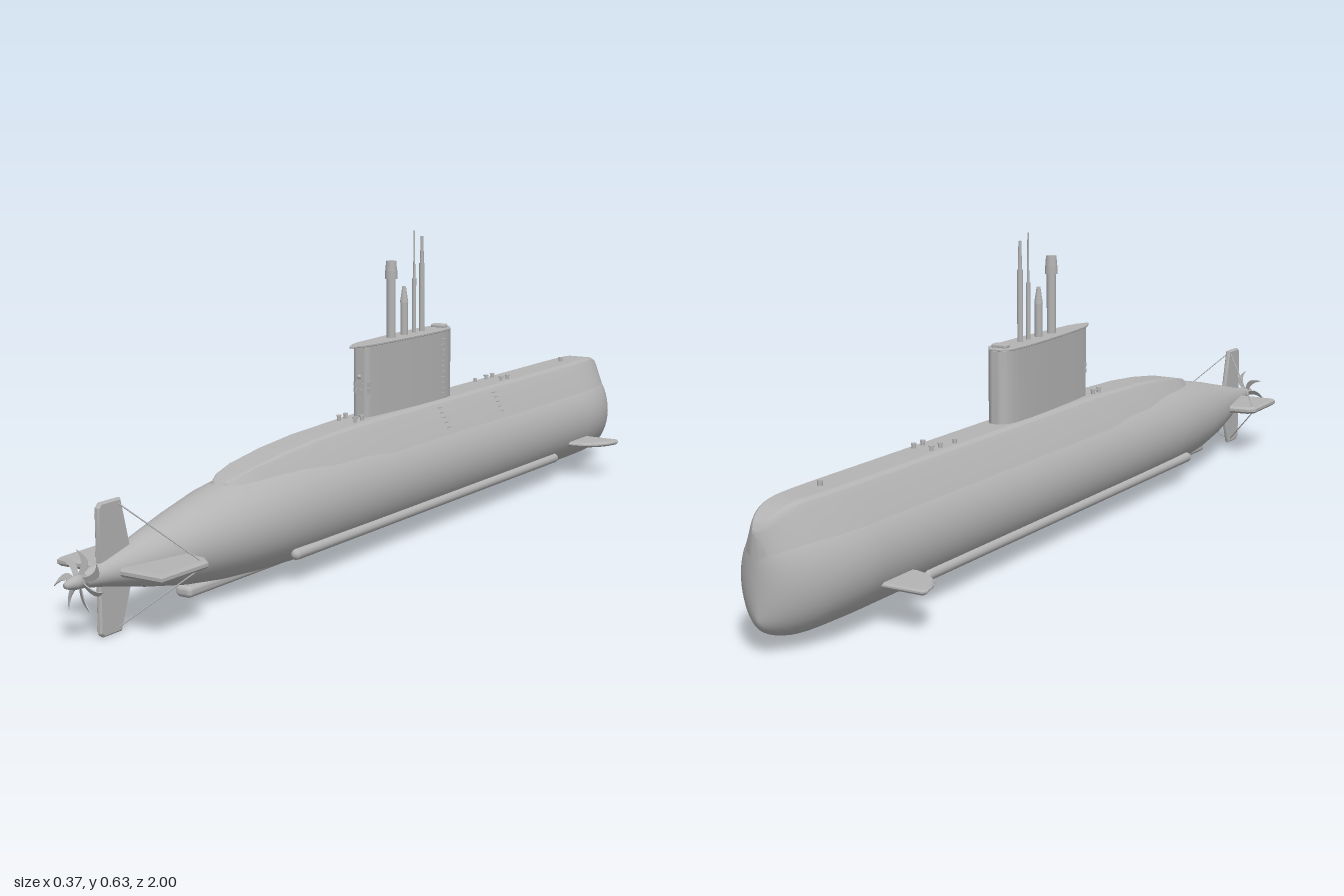
import * as THREE from 'three';
import { mergeVertices, toCreasedNormals } from 'three/addons/utils/BufferGeometryUtils.js';
import { RoundedBoxGeometry } from 'three/addons/geometries/RoundedBoxGeometry.js';

const grey = new THREE.MeshStandardMaterial({ color: 0xb4b4b4 });
grey.name = 'hull grey';

// linear lookup in rows [z, a, b, ...] sorted by falling z
function lookup(rows, z) {
  let i = 0;
  while (i < rows.length - 2 && z < rows[i + 1][0]) i++;
  const p = rows[i], q = rows[i + 1];
  const t = THREE.MathUtils.clamp((z - p[0]) / (q[0] - p[0]), 0, 1);
  return p.map((v, k) => v + (q[k] - v) * t);
}

// skin over closed rings that run from +z to -z
function loft(rings, crease) {
  const n = rings[0].length, pos = [], idx = [];
  rings.forEach(r => r.forEach(p => pos.push(...p)));
  for (let i = 0; i < rings.length - 1; i++) for (let j = 0; j < n; j++) {
    const a = i * n + j, b = i * n + (j + 1) % n;
    idx.push(a, a + n, b, b, a + n, b + n);
  }
  let g = new THREE.BufferGeometry();
  g.setAttribute('position', new THREE.Float32BufferAttribute(pos, 3));
  g.setIndex(idx);
  g = mergeVertices(g, 1e-5);
  g.computeVertexNormals();
  return crease ? toCreasedNormals(g, crease) : g;
}

// rounds the bow off in plan and in profile
function bowPoint(x, y, z) {
  const u = Math.max(0, (-z - 0.78) / 0.22), v = Math.max(0, (-z - 0.9) / 0.1);
  const sx = Math.sqrt(Math.max(0, 1 - u ** 2.3));
  const sy = (0.07 + 0.05 * Math.sqrt(Math.max(0, 1 - v * v))) / 0.12;
  return [x * sx, 0.14 + (y - 0.14) * sy, z];
}

// [z, radius, centre height]
const HULL = [[0.958, 0.013, 0.113], [0.9, 0.024, 0.113], [0.8, 0.048, 0.113], [0.7, 0.07, 0.115],
  [0.6, 0.087, 0.119], [0.5, 0.097, 0.122], [0.4, 0.103, 0.124], [0.2, 0.105, 0.125], [-1, 0.105, 0.125]];
// [z, top half width, base half width, top height]
const CASING = [[0.585, 0, 0.001, 0.205], [0.575, 0.014, 0.022, 0.213], [0.55, 0.024, 0.036, 0.221],
  [0.5, 0.029, 0.047, 0.232], [0.4, 0.031, 0.06, 0.245], [0.3, 0.032, 0.072, 0.253],
  [0.1, 0.032, 0.083, 0.26], [-1, 0.032, 0.083, 0.26]];
const BOW = Array.from({ length: 19 }, (_, i) => -0.78 - 0.22 * Math.sin(i / 18 * Math.PI / 2));

function hullGeometry() {
  const zs = [...HULL.slice(0, -1).map(r => r[0]), -0.3, ...BOW];
  return loft(zs.map(z => {
    const [, r, cy] = lookup(HULL, z);
    return Array.from({ length: 48 }, (_, j) => {
      const a = j / 48 * Math.PI * 2;
      return bowPoint(r * Math.cos(a), cy + r * Math.sin(a), z);
    });
  }));
}

function casingGeometry() {
  const zs = [...CASING.slice(0, -1).map(r => r[0]), -0.3, ...BOW];
  return loft(zs.map(z => {
    const [, wt, wb, t] = lookup(CASING, z), [, r, cy] = lookup(HULL, z);
    const b = cy + Math.sqrt(r * r - wb * wb) - 0.002;
    const h = Math.max(0, (t - b) / 0.073), k = (wb - wt) / 0.051;
    const half = [[wb * 0.5, b - 0.03 * h], [wb, b], [wt + 0.018 * k, t - 0.015 * h],
      [wt + 0.01 * k, t - 0.005 * h], [wt, t]];
    return [...half, ...half.slice().reverse().map(([x, y]) => [-x, y])].map(([x, y]) => bowPoint(x, y, z));
  }), 0.4);
}

// plate of even thickness with slightly softened edges, centred on its plane
function plate(points, thickness, bevel = 0.002, smooth = false) {
  const v = points.map(p => new THREE.Vector2(...p));
  const shape = new THREE.Shape(smooth ? new THREE.SplineCurve([...v, v[0]]).getPoints(60).slice(0, -1) : v);
  const g = new THREE.ExtrudeGeometry(shape, { depth: thickness - 2 * bevel, bevelEnabled: bevel > 0,
    bevelSize: bevel, bevelOffset: -bevel, bevelThickness: bevel, bevelSegments: 1, curveSegments: 10 });
  g.translate(0, 0, bevel - thickness / 2);
  return toCreasedNormals(g, 0.5);
}
const mirrored = half => [...half, ...half.slice().reverse().map(([x, z]) => [-x, z])];

export function createModel() {
  const model = new THREE.Group();
  const add = (name, geo, x = 0, y = 0, z = 0, parent = model) => {
    const m = new THREE.Mesh(geo, grey);
    m.name = name;
    m.position.set(x, y, z);
    parent.add(m);
    return m;
  };
  // upright cylinder from y0 to y1
  const post = (name, r, y0, y1, x, z, rTop = r) =>
    add(name, new THREE.CylinderGeometry(rTop, r, y1 - y0, 16), x, (y0 + y1) / 2, z);
  const rod = (name, a, b, r) => {
    const p = new THREE.Vector3(...a), q = new THREE.Vector3(...b);
    add(name, new THREE.TubeGeometry(new THREE.LineCurve3(p, q), 1, r, 6));
  };

  add('hull', hullGeometry());
  add('deckCasing', casingGeometry());
  add('keel', new RoundedBoxGeometry(0.036, 0.022, 1.58, 3, 0.009), 0, 0.028, -0.1);

  // side fenders
  for (const s of [-1, 1]) {
    const g = new THREE.CapsuleGeometry(0.011, 1.07, 6, 12).rotateX(Math.PI / 2);
    add('sideFender', g, s * 0.086, 0.058, -0.085);
  }

  // sail with its cap
  const sailHalf = [[0.012, 0.098], [0.018, 0.08], [0.024, 0], [0.029, -0.1], [0.03, -0.18], [0.026, -0.225], [0.012, -0.248]];
  add('sail', plate(mirrored(sailHalf), 0.165, 0.002, true).rotateX(Math.PI / 2), 0, 0.3275, 0);
  const capHalf = [[0.002, 0.132], [0.014, 0.105], [0.02, 0.08], [0.026, 0], [0.031, -0.1], [0.032, -0.18], [0.028, -0.227], [0.012, -0.25]];
  add('sailCap', plate(mirrored(capHalf), 0.005, 0.001).rotateX(Math.PI / 2), 0, 0.41, 0);
  add('bridgeScreen', new RoundedBoxGeometry(0.034, 0.01, 0.02, 2, 0.004), 0, 0.415, -0.225);

  // sail stern windows and lamp
  for (const s of [-1, 1]) for (const y of [0.315, 0.328]) {
    add('sternWindow', new THREE.BoxGeometry(0.008, 0.009, 0.006), s * 0.006, y, 0.099);
    add('sideWindow', new THREE.BoxGeometry(0.004, 0.009, 0.009), s * 0.0165, y, 0.088);
  }
  add('sternLamp', new THREE.SphereGeometry(0.005, 12, 8), 0, 0.345, 0.099);

  // ladder rungs on the sail and casing
  for (let i = 0; i < 11; i++) add('sailRung', new THREE.BoxGeometry(0.004, 0.002, 0.012), 0.031, 0.272 + i * 0.012, -0.19);
  for (const z of [-0.145, -0.385]) for (let i = 0; i < 5; i++)
    add('casingRung', new THREE.BoxGeometry(0.004, 0.002, 0.012), 0.072 - i * 0.0057, 0.208 + i * 0.01, z);

  // periscopes and masts
  post('periscope', 0.0095, 0.4, 0.545, 0, -0.025);
  post('periscopeCollar', 0.0135, 0.537, 0.555, 0, -0.025);
  post('periscopeHead', 0.0125, 0.553, 0.575, 0, -0.025, 0.011);
  post('snorkel', 0.008, 0.4, 0.488, 0, -0.077);
  post('snorkelHead', 0.009, 0.482, 0.516, 0, -0.077, 0.004);
  post('thinMast', 0.0045, 0.4, 0.53, 0, -0.118);
  post('thinMastTip', 0.0025, 0.53, 0.632, 0, -0.118, 0.0015);
  post('radioMast', 0.006, 0.4, 0.56, 0, -0.15);
  post('radioMastTip', 0.0045, 0.56, 0.618, 0, -0.15, 0.003);

  // deck bollards
  for (const z of [0.12, 0.145, -0.475, -0.505]) for (const s of [-1, 1]) {
    post('bollard', 0.004, 0.257, 0.267, s * 0.02, z);
    post('bollardCap', 0.0055, 0.267, 0.27, s * 0.02, z);
  }
  post('deckCleat', 0.004, 0.257, 0.268, -0.023, -0.43);
  post('bowBollard', 0.005, 0.257, 0.27, 0, -0.82);

  // bow planes, straight in front and rounded behind
  const bowHalf = [[0.02, -0.68], [0.11, -0.68], [0.135, -0.688], [0.16, -0.707], [0.177, -0.735], [0.185, -0.765], [0.182, -0.777], [0.02, -0.777]];
  add('bowPlanes', plate(mirrored(bowHalf), 0.011, 0.004).rotateX(Math.PI / 2), 0, 0.082, 0);

  // stern planes and rudder
  const planeHalf = [[0.01, 0.89], [0.118, 0.89], [0.12, 0.765], [0.105, 0.75], [0.01, 0.738]];
  add('sternPlanes', plate(mirrored(planeHalf), 0.016, 0.005).rotateX(Math.PI / 2), 0, 0.114, 0);
  const upper = [[0.918, 0.135], [0.918, 0.23], [0.91, 0.238], [0.858, 0.238], [0.836, 0.15], [0.836, 0.113]];
  const lower = [[0.918, 0.095], [0.918, 0.008], [0.91, 0.001], [0.862, 0.001], [0.836, 0.075], [0.836, 0.113]];
  for (const [name, pts] of [['upperRudder', upper], ['lowerRudder', lower]])
    add(name, plate([...pts, [0.9, 0.113]], 0.011, 0.003).rotateY(-Math.PI / 2));

  // stay wires from the rudder tips to the plane tips
  for (const s of [-1, 1]) {
    rod('upperStay', [0, 0.234, 0.87], [s * 0.112, 0.118, 0.77], 0.0013);
    rod('lowerStay', [0, 0.006, 0.875], [s * 0.112, 0.11, 0.77], 0.0013);
  }

  // seven curved propeller blades round a tapered hub
  const propeller = new THREE.Group();
  propeller.name = 'propeller';
  propeller.position.set(0, 0.113, 0.966);
  model.add(propeller);
  const hub = [[0, 0.034], [0.005, 0.033], [0.008, 0.026], [0.012, 0.012], [0.0135, -0.01], [0, -0.012]];
  add('propellerHub', new THREE.LatheGeometry(hub.reverse().map(p => new THREE.Vector2(...p)), 20).rotateX(Math.PI / 2), 0, 0, 0, propeller);
  const blade = new THREE.Shape();
  blade.moveTo(-0.004, 0.009);
  blade.lineTo(0.005, 0.009);
  blade.quadraticCurveTo(0.033, 0.036, -0.003, 0.056);
  blade.quadraticCurveTo(0.014, 0.034, -0.004, 0.009);
  const bladeGeo = new THREE.ExtrudeGeometry(blade, { depth: 0.002, bevelEnabled: false, curveSegments: 10 })
    .translate(0, 0, -0.001).rotateY(0.5);
  for (let i = 0; i < 7; i++) add('propellerBlade', bladeGeo, 0, 0, 0, propeller).rotation.z = i / 7 * Math.PI * 2;

  return model;
}
